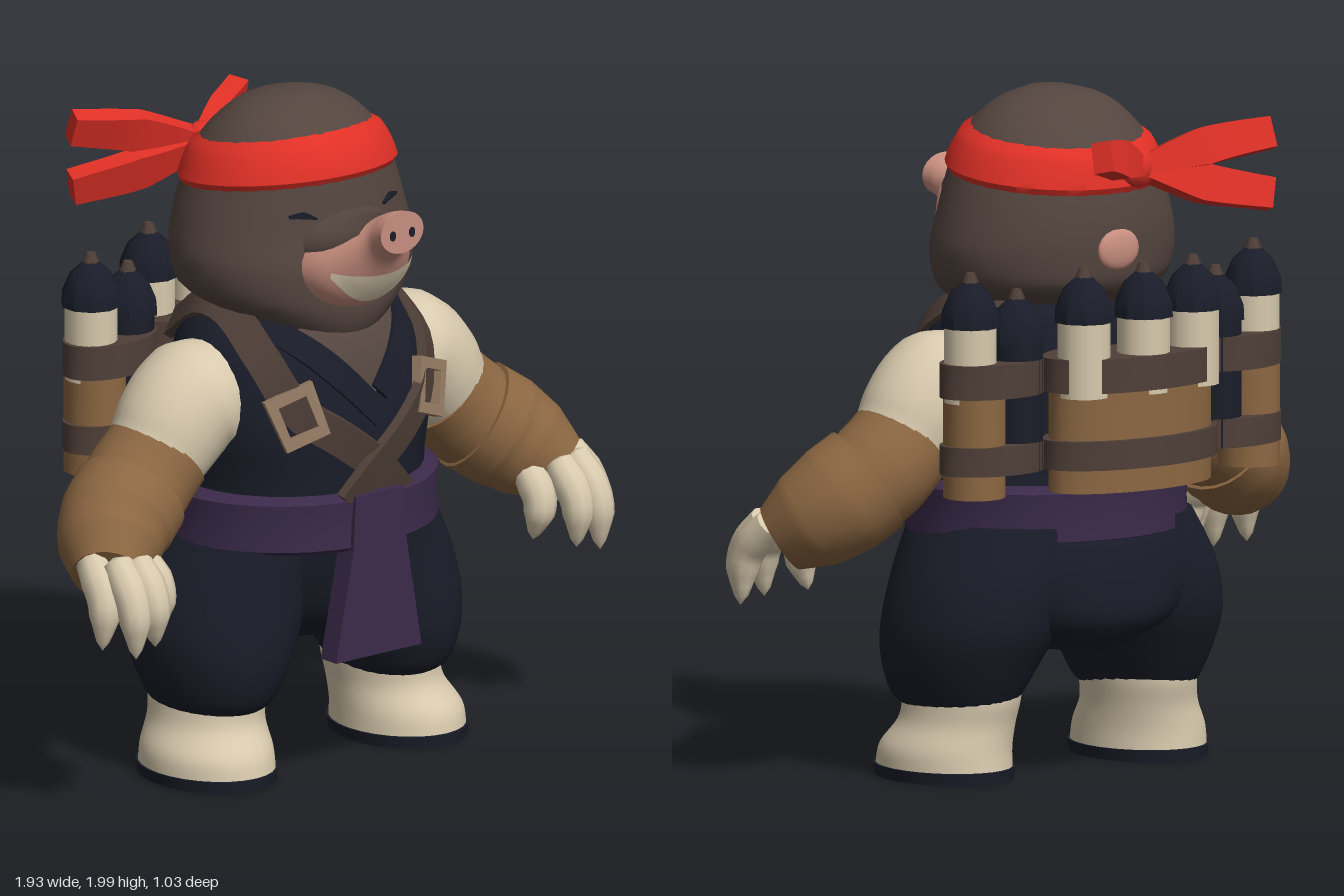
import * as THREE from 'three';
import { toCreasedNormals } from 'three/addons/utils/BufferGeometryUtils.js';

const V = (x, y, z) => new THREE.Vector3(x, y, z);
const paint = (name, color) => Object.assign(new THREE.MeshStandardMaterial({ color }), { name });

// Section list [y, cx, cz, rx, rz] sampled at t in 0..1
function sample(secs, t, smooth) {
  const n = secs.length - 1, f = Math.min(t * n, n - 1e-6), i = Math.floor(f), u = f - i;
  const b = secs[i], c = secs[i + 1], a = secs[Math.max(i - 1, 0)], d = secs[Math.min(i + 2, n)];
  return b.map((_, k) => {
    if (!smooth) return b[k] + (c[k] - b[k]) * u;
    const m0 = (c[k] - a[k]) / 2, m1 = (d[k] - b[k]) / 2, u2 = u * u, u3 = u2 * u;
    return (2 * u3 - 3 * u2 + 1) * b[k] + (u3 - 2 * u2 + u) * m0 + (3 * u2 - 2 * u3) * c[k] + (u3 - u2) * m1;
  });
}
// Interpolated section at a given height
function at(secs, y) {
  let best = secs[0];
  for (let i = 0; i <= 300; i++) {
    const s = sample(secs, i / 300, true);
    if (Math.abs(s[0] - y) < Math.abs(best[0] - y)) best = s;
  }
  return best;
}
// Move every vertex of a geometry by a rule, then rebuild normals
function warp(geo, rule, crease = 0.75) {
  const p = geo.attributes.position;
  for (let i = 0; i < p.count; i++) {
    const v = rule(V(p.getX(i), p.getY(i), p.getZ(i)), i);
    p.setXYZ(i, v.x, v.y, v.z);
  }
  return toCreasedNormals(geo, crease);
}
// Stack of elliptical rings, closed with end discs
function loft(secs, smooth = true, sides = 28) {
  const cap = s => [s[0], s[1], s[2], 0, 0];
  const rows = (secs.length - 1) * (smooth ? 4 : 1);
  const geo = new THREE.CylinderGeometry(1, 1, 1, sides, rows + 2, true);
  return warp(geo, v => {
    const r = Math.round((v.y + 0.5) * (rows + 2));
    const s = r === 0 ? cap(secs[0]) : r === rows + 2 ? cap(secs.at(-1)) : sample(secs, (r - 1) / rows, smooth);
    return V(s[1] + v.x * s[3], s[0], s[2] + v.z * s[4]);
  });
}
// Tube with changing radius and closed ends
function sweep(pts, radii, seg = 16, sides = 16) {
  const curve = new THREE.CatmullRomCurve3(pts);
  return warp(new THREE.TubeGeometry(curve, seg, 1, sides), (v, i) => {
    const row = Math.floor(i / (sides + 1)), c = curve.getPointAt(row / seg);
    const r = row === 0 || row === seg ? 0 : sample(radii.map(q => [q]), row / seg, false)[0];
    return v.sub(c).multiplyScalar(r).add(c);
  });
}
// Flat strap along a path, facing away from a centre
function strip(pts, widths, thick, centre) {
  const curve = new THREE.CatmullRomCurve3(pts), w = widths.map(q => [q]);
  return warp(new THREE.BoxGeometry(1, 1, 1, 1, 1, 24), v => {
    const t = v.z + 0.5, p = curve.getPointAt(t), tan = curve.getTangentAt(t);
    const n = p.clone().sub(centre);
    n.addScaledVector(tan, -n.dot(tan)).normalize();
    const side = n.clone().cross(tan);
    return p.addScaledVector(side, v.x * sample(w, t, false)[0]).addScaledVector(n, v.y * thick);
  });
}

const HEAD = [[1.22, 0, .09, .12, .15], [1.32, 0, .08, .2, .22], [1.38, 0, .05, .28, .27], [1.44, 0, .01, .355, .31],
  [1.53, 0, 0, .38, .315], [1.62, 0, -.01, .365, .305], [1.72, 0, -.01, .335, .29], [1.82, 0, -.005, .297, .265],
  [1.9, 0, 0, .24, .21], [1.96, 0, 0, .16, .14], [1.99, 0, .01, .06, .06]];
const TORSO = [[.78, 0, .02, .39, .35], [.9, 0, .04, .38, .33], [1.05, 0, .045, .4, .33], [1.2, 0, .03, .4, .315],
  [1.3, 0, .02, .365, .29], [1.38, 0, 0, .28, .24], [1.42, 0, 0, .15, .15]];
const MUZZLE = [[.2, 0, -1.53, .2, .15], [.32, 0, -1.535, .172, .128], [.38, 0, -1.575, .13, .108], [.43, 0, -1.63, .082, .08],
  [.47, 0, -1.66, .076, .066], [.505, 0, -1.67, .08, .063]];
// Point on the front of a ring stack
function front(secs, x, y, lift = 0) {
  const s = at(secs, y);
  return V(x, y, s[2] + s[4] * Math.sqrt(Math.max(0, 1 - (x / s[3]) ** 2)) + lift);
}
// Foremost point of the muzzle at x, y
function onMuzzle(x, y, lift) {
  let z = .2;
  for (let i = 0; i <= 500; i++) {
    const s = sample(MUZZLE, i / 500, true);
    if ((x / s[3]) ** 2 + ((y + s[2]) / s[4]) ** 2 <= 1) z = s[0];
  }
  return V(x, y, z + lift);
}

export function createModel() {
  const root = new THREE.Group();
  root.name = 'moleNinja';
  const fur = paint('fur', 0x54453f), navy = paint('navyCloth', 0x1a1d29), cream = paint('cream', 0xd8caae);
  const leather = paint('leather', 0x8c6742), purple = paint('purpleSash', 0x3b2a4a), red = paint('redCloth', 0xdf3026);
  const pink = paint('pinkSkin', 0xc98f80), tan = paint('buckleTan', 0x967c64), strap = paint('darkStrap', 0x4f3f38);
  red.side = cream.side = fur.side = THREE.DoubleSide;
  const add = (name, geo, mat, parent = root) => {
    const m = new THREE.Mesh(geo, mat);
    m.name = name;
    parent.add(m);
    return m;
  };

  // Head and snout
  add('head', loft(HEAD), fur);
  const forward = secs => loft(secs).rotateX(Math.PI / 2);
  add('snoutTop', forward([[.18, 0, -1.58, .2, .13], [.32, 0, -1.605, .15, .082], [.41, 0, -1.648, .085, .058]]), fur);
  add('muzzle', forward(MUZZLE), pink);
  add('teeth', warp(new THREE.PlaneGeometry(2, 1, 24, 6), v => {
    const q = v.x * v.x, top = 1.525 + .018 * q, low = 1.432 + .095 * q;
    return onMuzzle(v.x * .152, low + (top - low) * (v.y + .5), .012);
  }, 1.2), cream);
  for (const s of [1, -1]) {
    add('nostril', new THREE.CylinderGeometry(.011, .011, .006, 10).rotateX(Math.PI / 2).scale(1, 1.4, 1), navy)
      .position.set(s * .036, 1.665, .505);
    add('closedEye', strip([.125, .16, .2].map((x, i) => front(HEAD, s * x, [1.68, 1.692, 1.69][i], .003)),
      [.006, .02, .008], .009, V(0, 1.68, 0)), navy);
  }
  add('napePatch', new THREE.SphereGeometry(1, 16, 10).scale(.075, .06, .02), pink).position.set(0, 1.55, -.312);

  // Headband, lower at the back, with knot and tails
  add('headband', warp(new THREE.CylinderGeometry(1, 1, 1, 40, 6, true), v => {
    const y = 1.81 + .033 * v.z + v.y * .145, s = at(HEAD, y), o = Math.abs(v.y) > .45 ? -.006 : .014;
    return V(v.x * (s[3] + o), y, s[2] + v.z * (s[4] + o));
  }), red);
  const knot = V(-.08, 1.78, -.3);
  add('headbandKnot', new THREE.SphereGeometry(.06, 8, 6).scale(1.1, 1, .8), red).position.copy(knot);
  const tails = [[[-.28, 1.83, -.36], [-.47, 1.86, -.43]], [[-.28, 1.72, -.35], [-.47, 1.68, -.43]], [[.04, 1.82, -.37], [.16, 1.85, -.44]]];
  for (const t of tails)
    add('headbandTail', strip([knot, ...t.map(p => V(...p))], [.05, .11, .09], .06, V(-.1, 1.7, 0)), red);

  // Torso, chest fur and lapels
  add('vest', loft(TORSO), navy);
  add('chestFur', warp(new THREE.PlaneGeometry(2, 1, 12, 10), v => {
    const k = v.y + .5, y = 1.14 + .21 * k;
    return front(TORSO, v.x * (.005 + .19 * k), y, .008);
  }), fur);
  for (const s of [-1, 1]) {
    const path = [[.25, 1.36], [.18, 1.3], [.1, 1.22], [s * .03, s > 0 ? 1.15 : 1.08]];
    add('lapel', strip(path.map(([x, y]) => front(TORSO, s * x, y, .01)), [.07, .08, .07], .014, V(0, 1.1, 0)), navy);
  }

  // Crossed straps over the shoulders with buckles
  const frame = new THREE.Shape([[-.07, -.082], [.07, -.082], [.078, .082], [-.078, .082]].map(p => new THREE.Vector2(...p)));
  frame.holes.push(new THREE.Path([[-.045, -.05], [-.045, .05], [.045, .05], [.045, -.05]].map(p => new THREE.Vector2(...p))));
  const frameGeo = new THREE.ExtrudeGeometry(frame, { depth: .03, bevelEnabled: false });
  for (const s of [1, -1]) {
    const face = [[-.1, .84], [0, .945], [.12, 1.04], [.235, 1.13], [.29, 1.27]].map(([x, y]) => front(TORSO, s * x, y, .014 + s * .005));
    const over = [V(s * .285, 1.385, .06), V(s * .28, 1.385, -.06), V(s * .26, 1.28, -.22)];
    add('chestStrap', strip([...face, ...over], [.1, .105, .1, .1], .028, V(0, 1.1, 0)), strap);
    const buckle = add('strapBuckle', frameGeo, tan);
    buckle.position.copy(front(TORSO, s * .24, 1.115, .012));
    buckle.lookAt(s * .6, 1.25, 1.15);
    buckle.rotateZ(-s * .35);
  }

  // Sash
  const sashRing = (y, o) => [y, 0, .025, .41 + o, .36 + o];
  add('sash', loft([sashRing(.695, 0), sashRing(.71, .02), sashRing(.78, .015), sashRing(.85, .02), sashRing(.868, -.01)], false, 36), purple);
  const tail = new THREE.Shape([[-.165, .375], [.155, .375], [.1, .7], [.09, .865], [-.09, .865], [-.1, .7]].map(p => new THREE.Vector2(...p)));
  add('sashTail', new THREE.ExtrudeGeometry(tail, { depth: .07, bevelEnabled: false }).translate(0, 0, .335), purple);

  // Seat of the trousers
  add('trouserSeat', loft([[.37, 0, -.06, .14, .18], [.45, 0, -.06, .32, .3], [.58, 0, -.035, .42, .335],
    [.7, 0, -.01, .42, .345], [.78, 0, .02, .4, .34]]), navy);

  // Canisters with cone caps, held in leather pouches by two bands
  const capGeo = toCreasedNormals(new THREE.LatheGeometry([[0, 1.37], [.088, 1.37], [.086, 1.41], [.062, 1.465], [.024, 1.5]]
    .map(p => new THREE.Vector2(...p)), 10), .6);
  const canister = (x, z, mat, low = 1.15, drop = 0) => {
    const g = new THREE.Group();
    g.name = 'canister';
    g.position.set(x, -drop, z);
    root.add(g);
    add('canisterBody', new THREE.CylinderGeometry(.077, .077, 1.39 - low, 16).translate(0, (1.39 + low) / 2, 0), mat, g);
    add('canisterCap', capGeo, navy, g);
    add('canisterTip', new THREE.CylinderGeometry(.014, .028, .035, 6).translate(0, 1.51, 0), strap, g);
  };
  const ring = (name, x, z, y, h, rx, rz, turn, mat) => {
    const m = add(name, loft([[y, 0, 0, rx, rz], [y + h, 0, 0, rx, rz]], false), mat);
    m.position.set(x, 0, z);
    m.rotation.y = turn;
  };
  const bands = (x, z, rx, rz, turn) => {
    ring('lowerBand', x, z, .94, .085, rx, rz, turn, strap);
    ring('upperBand', x, z, 1.165, .1, rx, rz, turn, strap);
  };
  ring('backPouch', 0, -.365, .87, .32, .28, .135, 0, leather);
  bands(0, -.365, .3, .152, 0);
  for (const x of [-.2, 0, .2]) canister(x, x ? -.405 : -.43, cream);

  for (const s of [1, -1]) {
    const P = (x, y, z) => V(s * x, y, z), side = s > 0 ? 'left' : 'right';
    ring(side + 'Pouch', s * .505, -.28, .87, .32, .09, .09, 0, leather);
    bands(s * .445, -.285, .165, .105, -s * .12);
    canister(s * .52, -.28, cream);
    canister(s * .365, -.3, navy, 1, .06);

    // Trouser leg, boot and sole
    add(side + 'TrouserLeg', loft([[.205, s * .325, .02, .14, .18], [.24, s * .33, .03, .17, .215], [.34, s * .32, .02, .212, .26],
      [.45, s * .3, 0, .24, .29], [.6, s * .262, -.01, .235, .3], [.75, s * .21, 0, .2, .3]]), navy);
    add(side + 'Boot', loft([[.03, s * .357, .05, .182, .225], [.09, s * .354, .045, .178, .215], [.16, s * .335, .02, .16, .19],
      [.22, s * .325, .01, .158, .192], [.255, s * .322, .01, .16, .195]]), cream);
    add(side + 'Sole', loft([[0, s * .357, .05, .183, .228], [.035, s * .357, .05, .188, .233]], false), navy);

    // Arm: sleeve, two-part bracer, claws
    add(side + 'Sleeve', sweep([P(.26, 1.17, .03), P(.42, 1.12, .03), P(.52, 1.01, .03), P(.57, .95, .03)], [.13, .18, .165, .14], 20, 24), cream);
    add(side + 'UpperBracer', sweep([P(.51, 1.01, .03), P(.6, .925, .035), P(.7, .84, .07)], [.155, .16, .155], 20, 24), leather);
    add(side + 'LowerBracer', sweep([P(.63, .9, .045), P(.74, .82, .09), P(.855, .715, .2)], [.17, .17, .15, .1], 24, 24), leather);
    const claws = [[.72, .73, .22, .7, .55, .25], [.79, .75, .27, .79, .53, .34], [.855, .76, .26, .87, .51, .35], [.89, .76, .19, .93, .53, .27]];
    for (const [x, y, z, tx, ty, tz] of claws)
      add(side + 'Claw', sweep([P(x, y + .03, z - .03), P((x + tx) / 2 + .005, (y + ty) / 2 + .03, (z + tz) / 2 + .03), P(tx, ty, tz)],
        [.045, .054, .046, .01], 12, 10), cream);
  }
  return root;
}
